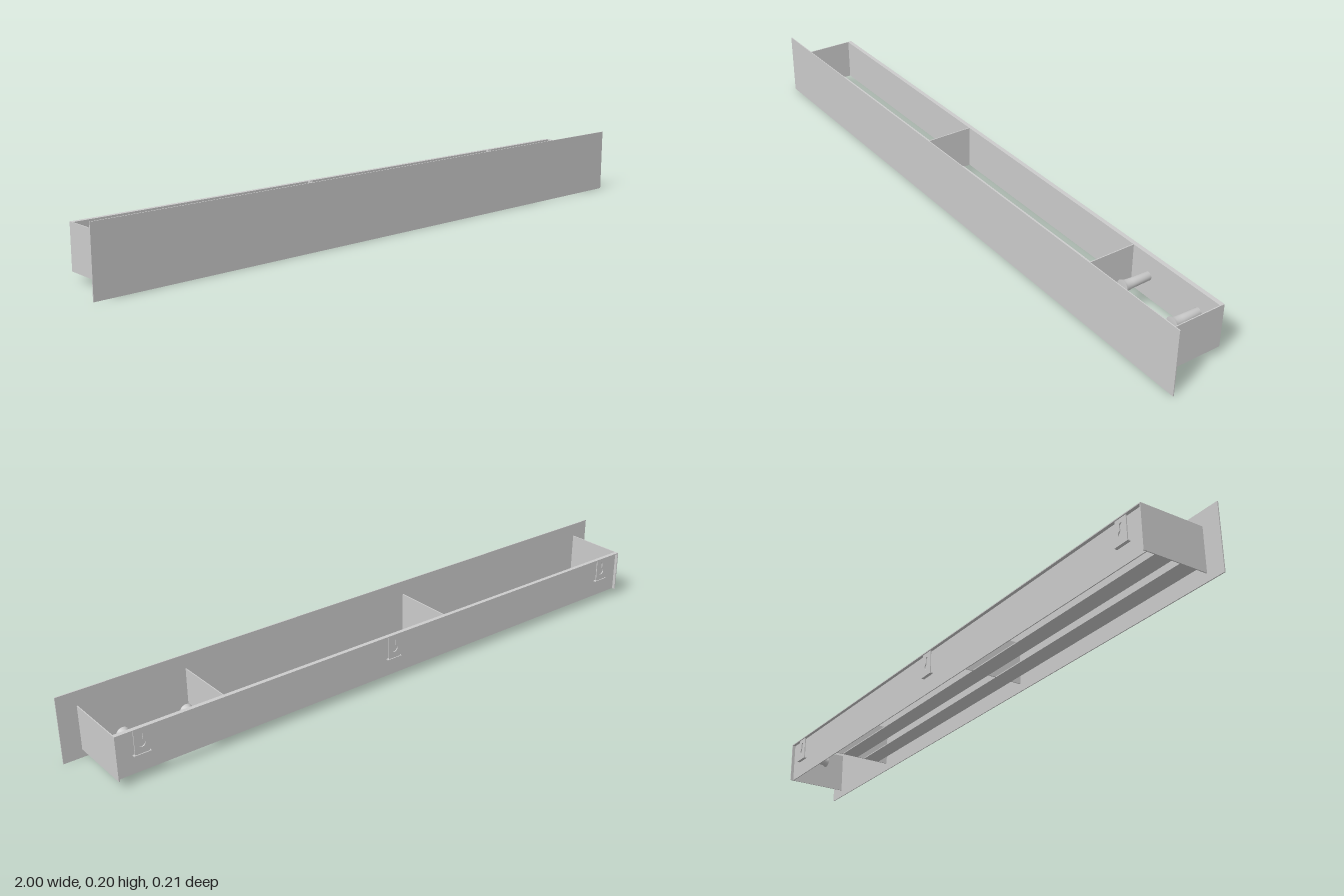
import * as THREE from 'three';

const material = new THREE.MeshStandardMaterial({ color: 0xcccccc, side: THREE.DoubleSide });

export function createModel() {
  const group = new THREE.Group();
  const add = (name, geometry, x = 0, y = 0, z = 0) => {
    const mesh = new THREE.Mesh(geometry, material);
    mesh.name = name;
    mesh.position.set(x, y, z);
    group.add(mesh);
    return mesh;
  };
  // box given by its minimum and maximum corners
  const slab = (name, [x0, y0, z0], [x1, y1, z1]) =>
    add(name, new THREE.BoxGeometry(x1 - x0, y1 - y0, z1 - z0), (x0 + x1) / 2, (y0 + y1) / 2, (z0 + z1) / 2);

  const W = 0.943, LOW = 0.024, HIGH = 0.156, FRONT = 0.1, BACK = -0.102, T = 0.003;

  // wide front and the narrower open body behind it
  slab('frontPanel', [-1, 0, FRONT], [1, 0.2, 0.103]);
  slab('backPanel', [-W, LOW, -0.092], [W, HIGH, -0.089]);
  slab('backTopLip', [-W, HIGH - T, BACK], [W, HIGH, -0.089]);
  for (const s of [-1, 1]) {
    slab(s > 0 ? 'leftSide' : 'rightSide',
      [s * (W - T / 2) - T / 2, LOW, BACK], [s * (W - T / 2) + T / 2, HIGH, FRONT]);
  }

  // upright dividers
  for (const x of [-0.166, 0.615]) {
    slab('divider', [x - T / 2, LOW, -0.089], [x + T / 2, HIGH, FRONT]);
  }

  // floor slats under the two longer compartments
  for (const [z0, z1] of [[-0.066, -0.012], [0.014, 0.068]]) {
    slab('floorSlat', [-W, LOW, z0], [0.615, LOW + T, z1]);
  }

  // flared pegs on the inner face of the back panel
  const pegProfile = [[0, 0], [0.013, 0], [0.014, 0.06], [0.016, 0.08], [0.02, 0.088], [0.02, 0.09], [0, 0.09]]
    .map(([r, y]) => new THREE.Vector2(r, y));
  for (const x of [0.68, 0.87]) {
    add('peg', new THREE.LatheGeometry(pegProfile, 24), x, 0.092, -0.09).rotation.x = Math.PI / 2;
  }

  // keyhole hanging plates in the rear recess
  const plate = new THREE.Shape([[-0.021, 0], [0.021, 0], [0.021, 0.074], [-0.021, 0.074]]
    .map(([x, y]) => new THREE.Vector2(x, y)));
  const keyhole = new THREE.Path();
  keyhole.absarc(0, 0.03, 0.011, Math.PI * 0.65, Math.PI * 2.35, false);
  keyhole.lineTo(0.005, 0.056);
  keyhole.absarc(0, 0.056, 0.005, 0, Math.PI, false);
  keyhole.closePath();
  plate.holes.push(keyhole);
  const plateGeometry = new THREE.ExtrudeGeometry(plate, { depth: 0.003, bevelEnabled: false, curveSegments: 12 });
  for (const x of [-0.865, 0.033, 0.868]) {
    add('hangerPlate', plateGeometry, x, 0.079, -0.099);
    slab('hangerFoot', [x - 0.025, 0.077, BACK], [x + 0.025, 0.08, -0.092]);
  }

  return group;
}
